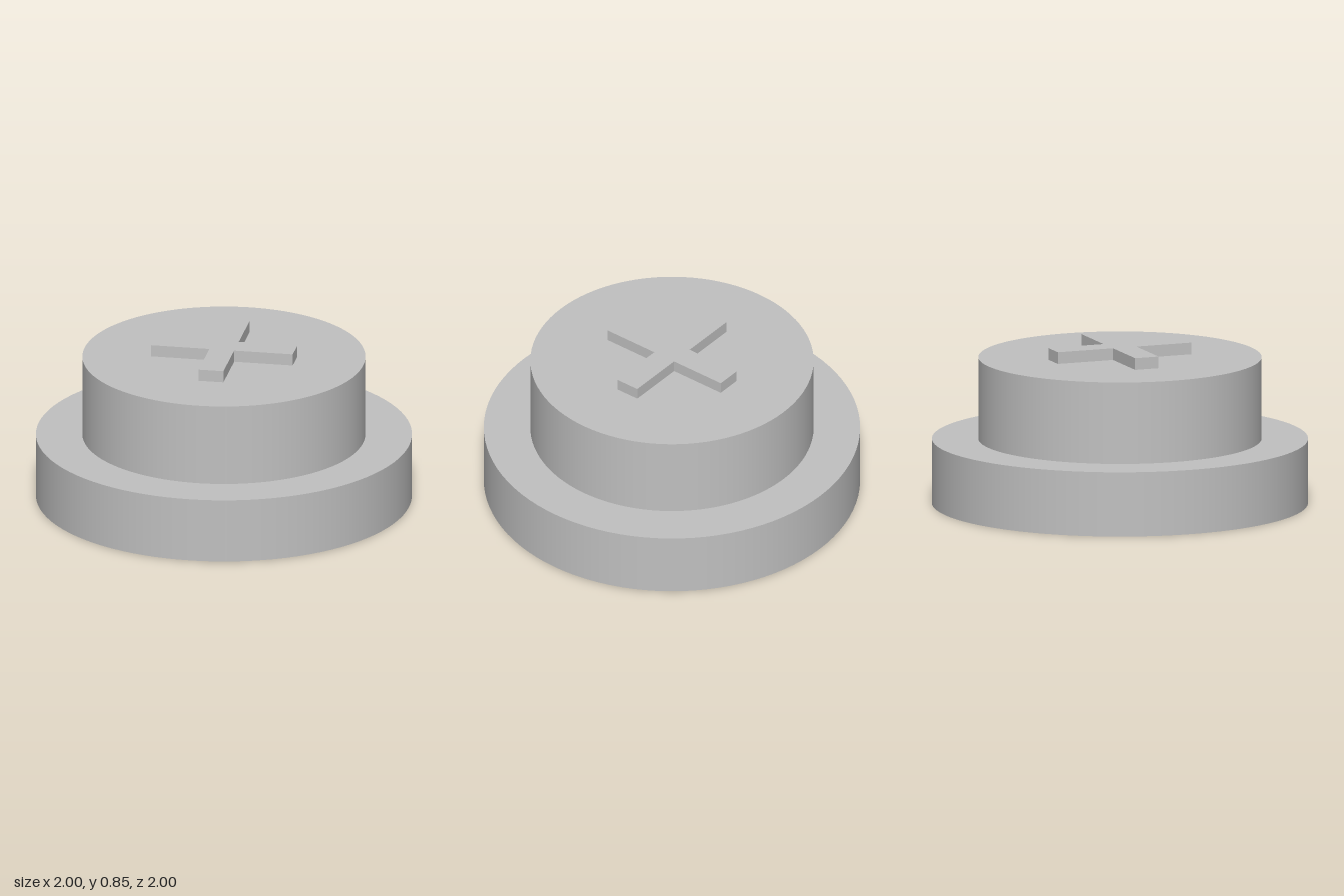
import * as THREE from 'three';

const R_BASE = 1, R_CAP = 0.753, Y_BASE = 0.347, Y_CAP = 0.787, Y_CROSS = 0.85;
const ARM = 0.383, HALF = 0.067; // cross arm reach and half width
const SEGMENTS = 96;

export function createModel() {
  const group = new THREE.Group();
  const grey = new THREE.MeshStandardMaterial({ color: 0xc0c0c0 });
  grey.name = 'plain grey';

  const add = (name, geometry, y) => {
    const mesh = new THREE.Mesh(geometry, grey);
    mesh.name = name;
    mesh.position.y = y;
    group.add(mesh);
  };

  // Upright disc standing on the given height
  const addDisc = (name, radius, bottom, top) =>
    add(name, new THREE.CylinderGeometry(radius, radius, top - bottom, SEGMENTS), (bottom + top) / 2);

  addDisc('baseFlange', R_BASE, 0, Y_BASE);
  addDisc('buttonCap', R_CAP, Y_BASE, Y_CAP);

  // Raised plus shape: one arm outline turned four times
  const points = [];
  for (let i = 0; i < 4; i++) {
    for (const [x, y] of [[ARM, -HALF], [ARM, HALF], [HALF, HALF]]) {
      points.push(new THREE.Vector2(x, y).rotateAround(new THREE.Vector2(), i * Math.PI / 2));
    }
  }
  const cross = new THREE.ExtrudeGeometry(new THREE.Shape(points), {
    depth: Y_CROSS - Y_CAP, bevelEnabled: false,
  });
  cross.rotateX(-Math.PI / 2);
  add('raisedCross', cross, Y_CAP);

  return group;
}
